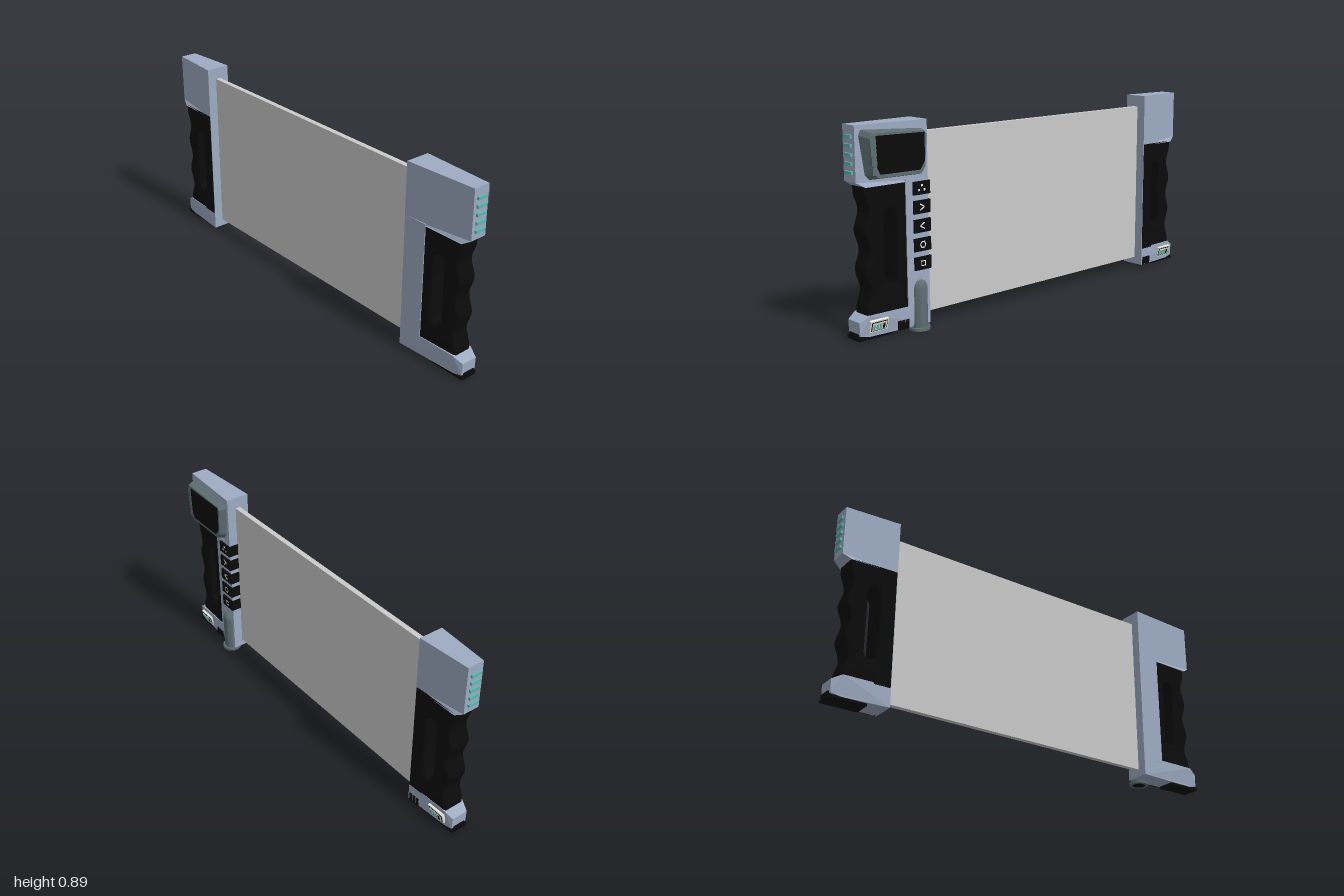
import * as THREE from 'three';
import { toCreasedNormals } from 'three/addons/utils/BufferGeometryUtils.js';

const mat = (name, color) => {
  const m = new THREE.MeshStandardMaterial({ color });
  m.name = name;
  return m;
};
const CX = -0.018; // centre plane of panel and handles

export function createModel() {
  const M = {
    shell: mat('shell blue grey', 0x9dabc2),
    black: mat('rubber black', 0x0b0b0b),
    slate: mat('slate housing', 0x5c6d70),
    teal: mat('teal light', 0x5cb8b0),
    panel: mat('panel grey', 0xcacaca),
    white: mat('icon white', 0xe6e6e0),
  };
  const root = new THREE.Group();
  root.name = 'handheldPanel';

  const add = (parent, name, geo, material, x = 0, y = 0, z = 0) => {
    const m = new THREE.Mesh(geo, material);
    m.name = name;
    m.position.set(x, y, z);
    parent.add(m);
    return m;
  };
  // box given by its limits on each axis
  const box = (parent, name, material, [x0, x1], [y0, y1], [z0, z1]) =>
    add(parent, name, new THREE.BoxGeometry(x1 - x0, y1 - y0, z1 - z0), material,
      (x0 + x1) / 2, (y0 + y1) / 2, (z0 + z1) / 2);
  // extrude a (z, y) outline along x, then move vertices by a rule
  const slab = (shape, rule, opts = {}) => {
    const g = new THREE.ExtrudeGeometry(shape, { depth: 1, bevelEnabled: false, ...opts });
    g.translate(0, 0, -(opts.depth ?? 1) / 2).rotateY(-Math.PI / 2);
    const p = g.attributes.position, v = new THREE.Vector3();
    for (let i = 0; i < p.count; i++) {
      rule(v.fromBufferAttribute(p, i));
      p.setXYZ(i, v.x, v.y, v.z);
    }
    g.computeVertexNormals();
    return g;
  };
  const outline = pts => new THREE.Shape(pts.map(([z, y]) => new THREE.Vector2(z, y)));

  // Transparent-looking divider between the handles
  box(root, 'panel', M.panel, [CX - 0.0125, CX + 0.0125], [0.055, 0.835], [-0.74, 0.65]);

  // Symmetric handle, built facing +z; the back one is turned round
  function handle(name, inner, gripInner, gripHalf) {
    const h = new THREE.Group();
    h.name = name;
    h.position.x = CX;
    root.add(h);
    // narrows toward the outer end, flares at the lips beside the grip
    const taper = v => {
      const lip = Math.abs(v.y - 0.64) < 0.002 || Math.abs(v.y - 0.112) < 0.002;
      const t = (v.z - inner) / (0.99 - inner);
      v.x *= 2 * Math.max(0.058 - 0.018 * t, lip ? 0.054 : 0);
    };
    add(h, 'headBlock', slab(outline([[inner, 0.89], [0.99, 0.89], [0.99, 0.662],
      [0.953, 0.64], [inner, 0.64]]), taper), M.shell);
    add(h, 'foot', slab(outline([[inner, 0.02], [0.95, 0.02], [0.992, 0.03], [0.994, 0.088],
      [0.95, 0.112], [inner, 0.112]]), taper), M.shell);
    box(h, 'spine', M.shell, [-0.0575, 0.0575], [0.1, 0.65], [inner, gripInner + 0.003]);

    // Grip with finger grooves and a slot
    const pts = [[gripInner, 0.105], [gripInner, 0.645]];
    for (let i = 0; i <= 32; i++) {
      const y = 0.645 - 0.54 * i / 32;
      pts.push([0.943 + 0.011 * Math.cos((y - 0.62) * 2 * Math.PI / 0.165), y]);
    }
    const shape = outline(pts);
    const slot = new THREE.Path();
    const sz = 0.835, r = 0.029 + 0.012;
    slot.absarc(sz, 0.51, r - 0.012, 0, Math.PI, false);
    slot.absarc(sz, 0.24, r - 0.012, Math.PI, 2 * Math.PI, false);
    shape.holes.push(slot);
    const b = 0.012, depth = 2 * (gripHalf - b);
    const grip = slab(shape, v => {
      if (v.z < gripInner + b + 0.002) v.z = gripInner;
      if (v.y > 0.625) v.y = 0.645;
      if (v.y < 0.125) v.y = 0.105;
      v.x *= 1 - 0.14 * (v.z - gripInner) / (0.95 - gripInner);
    }, { depth, bevelEnabled: true, bevelSize: b, bevelThickness: b, bevelOffset: -b, bevelSegments: 3 });
    add(h, 'grip', toCreasedNormals(grip, 0.7), M.black);

    // Status lights on the outer face
    for (let i = 0; i < 5; i++) {
      const y = 0.845 - i * 0.0363;
      box(h, 'statusLight', M.teal, [-0.024, 0.024], [y - 0.0065, y + 0.0065], [0.98, 1.0]);
    }
    // Rubber sole and toe
    box(h, 'sole', M.black, [-0.042, 0.042], [0.009, 0.022], [0.83, 0.998]);
    box(h, 'toe', M.black, [-0.03, 0.03], [0.01, 0.038], [0.96, 1.0]);
  }
  handle('frontHandle', 0.645, 0.757, 0.054);
  handle('backHandle', 0.735, 0.738, 0.0595);
  root.getObjectByName('backHandle').rotation.y = Math.PI;

  // Side label and vents on each foot, on the left side only
  for (const s of [1, -1]) {
    const label = new THREE.Group();
    label.name = 'footLabel';
    label.position.set(0.036, 0.065, s * 0.91);
    label.rotation.z = -0.28;
    root.add(label);
    box(label, 'labelPlate', M.white, [-0.008, 0.004], [-0.026, 0.026], [-0.045, 0.045]);
    box(label, 'labelRecess', M.black, [0.003, 0.006], [-0.02, 0.02], [-0.038, 0.038]);
    box(label, 'labelFace', M.white, [0.004, 0.007], [-0.017, 0.017], [-0.035, 0.035]);
    for (let i = 0; i < 4; i++) {
      const z = 0.026 - i * 0.016;
      box(label, 'labelBar', i < 3 ? M.teal : M.black, [0.005, 0.009], [-0.013, 0.01], [z - 0.005, z + 0.005]);
    }
    for (let i = 0; i < 3; i++) {
      const z = s * ((s > 0 ? 0.765 : 0.75) + i * 0.02);
      box(root, 'vent', M.black, [0.025, 0.042], [0.02, 0.06], [z - 0.007, z + 0.007]);
    }
  }

  // Display housing on the front handle
  const housing = outline([[0.965, 0.873], [0.665, 0.86], [0.65, 0.845], [0.662, 0.69],
    [0.685, 0.66], [0.93, 0.665], [0.95, 0.685], [0.975, 0.85]]);
  add(root, 'displayHousing', slab(housing, v => {
    const top = v.x > 0;
    v.x = top ? 0.072 : 0.015;
    if (top) {
      v.z = 0.812 + (v.z - 0.812) * 0.87;
      v.y = 0.767 + (v.y - 0.767) * 0.87;
    }
  }), M.slate);
  const screen = outline([[0.925, 0.848], [0.685, 0.843], [0.685, 0.725], [0.71, 0.69], [0.905, 0.692], [0.92, 0.715]]);
  add(root, 'screen', slab(screen, v => { v.x = v.x > 0 ? 0.075 : 0.07; }), M.black);
  for (let i = 0; i < 4; i++) {
    const y = 0.82 - i * 0.038;
    box(root, 'housingRib', M.slate, [0.045, 0.0745], [y - 0.015, y + 0.015], [0.915, 0.952 - i * 0.003]);
  }

  // Buttons wrapping the inner corner, each with its own icon
  const bar = (g, x, y, w, hgt, turn = 0) => {
    add(g, 'iconBar', new THREE.BoxGeometry(w, hgt, 0.002), M.white, x, y).rotation.z = turn;
  };
  const ring = (g, sides, turn) => {
    add(g, 'iconRing', new THREE.RingGeometry(0.011, 0.017, sides, 1, turn), M.white, 0, 0, 0.001);
  };
  const chevron = (g, d) => {
    for (const s of [1, -1]) bar(g, 0, s * 0.007, 0.026, 0.005, -s * d * 0.5);
  };
  const icons = [
    g => { for (const [x, y] of [[0, 0.011], [-0.014, -0.008], [0.014, -0.008]]) bar(g, x, y, 0.009, 0.009); },
    g => chevron(g, 1),
    g => chevron(g, -1),
    g => ring(g, 6, 0),
    g => ring(g, 4, Math.PI / 4),
  ];
  icons.forEach((draw, i) => {
    const y = 0.608 - i * 0.08;
    box(root, 'button', M.black, [-0.004, 0.047], [y - 0.028, y + 0.028], [0.639, 0.725]);
    const g = new THREE.Group();
    g.name = 'buttonIcon';
    g.position.set(0.0475, y, 0.683);
    g.rotation.y = Math.PI / 2;
    root.add(g);
    draw(g);
  });

  // Domed post at the foot of the front handle
  const arc = [];
  for (let i = 0; i <= 8; i++) {
    const a = i / 8 * Math.PI / 2;
    arc.push(new THREE.Vector2(0.036 * Math.cos(a), 0.183 + 0.037 * Math.sin(a)));
  }
  const post = [[0, 0], [0.046, 0], [0.046, 0.013], [0.036, 0.013]].map(p => new THREE.Vector2(...p));
  add(root, 'domedPost', toCreasedNormals(new THREE.LatheGeometry([...post, ...arc], 28), 0.6),
    M.slate, 0.028, 0, 0.695);
  add(root, 'postCap', new THREE.CylinderGeometry(0.03, 0.03, 0.004, 24), M.black, 0.028, 0.0015, 0.695);
  return root;
}
